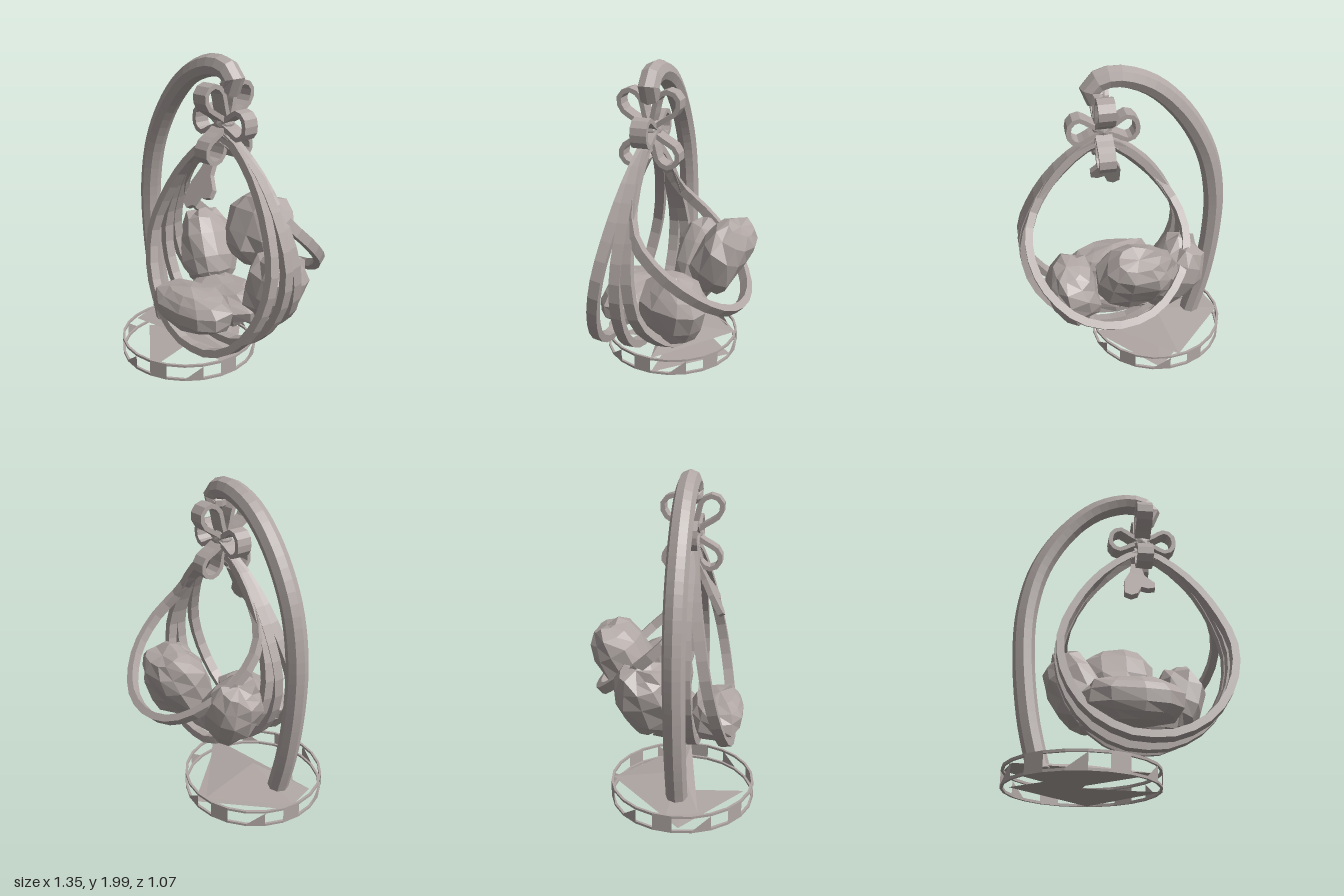
import * as THREE from 'three';

const V = (x, y, z) => new THREE.Vector3(x, y, z);
const CX = 0.13; // centre line of the hanging basket

export function createModel() {
  const group = new THREE.Group();
  const clay = new THREE.MeshStandardMaterial({ color: 0xb0a7a4, flatShading: true, side: THREE.DoubleSide });
  clay.name = 'warmGrey';

  let seed = 7;
  const rand = () => ((seed = (seed * 16807) % 2147483647) / 2147483647);

  const add = (name, geometry, parent = group) => {
    const mesh = new THREE.Mesh(geometry, clay);
    mesh.name = name;
    parent.add(mesh);
    return mesh;
  };

  const fromTriangles = (points) => {
    const g = new THREE.BufferGeometry().setFromPoints(points);
    g.computeVertexNormals();
    return g;
  };

  // Rectangular section swept along a curve; "across" is the wide direction
  const sweep = (curve, steps, across, wide, thick) => {
    const rings = [];
    for (let i = 0; i <= steps; i++) {
      const p = curve.getPointAt(i / steps);
      const t = curve.getTangentAt(i / steps);
      const n = across.clone().addScaledVector(t, -across.dot(t)).normalize();
      const s = t.clone().cross(n);
      rings.push([[1, 1], [-1, 1], [-1, -1], [1, -1]].map(([a, b]) =>
        p.clone().addScaledVector(n, a * wide / 2).addScaledVector(s, b * thick / 2)));
    }
    const tri = [];
    for (let i = 0; i < steps; i++) {
      for (let j = 0; j < 4; j++) {
        const k = (j + 1) % 4, a = rings[i], b = rings[i + 1];
        tri.push(a[j], b[j], b[k], a[j], b[k], a[k]);
      }
    }
    return fromTriangles(tri);
  };

  // ---- Base: two thin rims, broken side panels and shallow plates ----
  const base = new THREE.Group();
  base.name = 'base';
  base.position.set(-0.23, 0, 0.08);
  group.add(base);
  const R = 0.45;
  const rim = (name, y) => {
    const pts = [[R - 0.015, y], [R, y], [R, y + 0.015], [R - 0.015, y + 0.015], [R - 0.015, y]];
    add(name, new THREE.LatheGeometry(pts.map(([r, h]) => new THREE.Vector2(r, h)), 24), base);
  };
  rim('bottomRim', 0.003);
  rim('topRim', 0.1);
  const onRim = (i, y) => V(Math.cos(i * Math.PI / 12) * R, y, Math.sin(i * Math.PI / 12) * R);
  const panels = [];
  for (let i = 0; i < 24; i += 2) {
    panels.push(onRim(i, 0.015), onRim(i, 0.1), onRim(i + 1, 0.015));
    if (i % 4 === 0) panels.push(onRim(i, 0.1), onRim(i + 1, 0.1), onRim(i + 1, 0.015));
  }
  add('sidePanels', fromTriangles(panels), base);
  // Plates are fans of triangles from a centre point to consecutive corners
  const fan = (name, centreY, y, corners) => {
    const tri = [];
    for (let i = 1; i < corners.length; i++) {
      tri.push(V(0, centreY, 0), V(corners[i][0], y, corners[i][1]), V(corners[i - 1][0], y, corners[i - 1][1]));
    }
    add(name, fromTriangles(tri), base);
  };
  fan('topPlate', 0.15, 0.11, [[0.44, 0], [-0.06, -0.43], [-0.44, -0.04], [-0.385, 0.145], [0.44, 0]]);
  fan('bottomPlate', 0.015, 0.005, [[0.44, 0], [0.06, -0.43], [-0.4, 0.03], [0.06, 0.39]]);

  // ---- Curved post with a hooked end ----
  const postPath = new THREE.CatmullRomCurve3([
    [-0.475, 0.11], [-0.55, 0.42], [-0.595, 0.8], [-0.59, 1.1], [-0.52, 1.4],
    [-0.36, 1.68], [-0.17, 1.86], [0.02, 1.93], [0.12, 1.92], [0.175, 1.885], [0.185, 1.845], [0.155, 1.81],
  ].map(([x, y]) => V(x, y, 0.08)));
  add('post', new THREE.TubeGeometry(postPath, 36, 0.066, 8));
  const tip = add('postTip', new THREE.SphereGeometry(0.06, 8, 5));
  tip.position.set(0.16, 1.83, 0.08);

  // ---- Bow: teardrop ribbon loops around a knot ----
  const bow = new THREE.Group();
  bow.name = 'bow';
  bow.position.set(0.12, 1.61, 0.09);
  group.add(bow);
  const tear = [[0.02, 0], [0.1, 0.5], [0.19, 0.95], [0.25, 0.6], [0.265, 0], [0.25, -0.6], [0.19, -0.95], [0.1, -0.5]];
  const loop = (name, angle, turnY, length, halfWidth) => {
    const path = new THREE.CatmullRomCurve3(tear.map(([u, v]) => V(u * length / 0.265, v * halfWidth, 0)), true);
    const g = sweep(path, 14, V(0, 0, 1), 0.1, 0.028);
    g.rotateZ(angle);
    g.rotateY(turnY);
    add(name, g, bow);
  };
  for (const s of [0, Math.PI]) {
    loop('upperLoop', 0.95, Math.PI / 2 + s, 0.265, 0.072);
    loop('lowerLoop', -0.93, Math.PI / 2 + s, 0.25, 0.07);
    loop('sideLoop', 0.05, s, 0.205, 0.08);
  }
  add('knot', new THREE.IcosahedronGeometry(0.062, 1), bow);

  // Ribbon tail with a notched end
  const tailShape = new THREE.Shape([
    [-0.03, 0], [0.03, 0], [0.045, -0.13], [0.105, -0.21], [0.1, -0.26], [0.055, -0.275],
    [0.015, -0.26], [-0.01, -0.33], [-0.05, -0.355], [-0.09, -0.33], [-0.085, -0.2], [-0.045, -0.1],
  ].map(([x, y]) => new THREE.Vector2(x, y)));
  const tail = add('ribbonTail', new THREE.ExtrudeGeometry(tailShape, { depth: 0.035, bevelEnabled: false }));
  tail.position.set(0.075, 1.42, 0.11);
  tail.rotation.x = -0.49;

  // ---- Basket hoops: half outlines mirrored about the centre line ----
  const hoop = (name, half, across, wide = 0.065) => {
    const left = half.slice(1, -1).reverse().map(([x, y, z]) => V(CX - x, y, z));
    const right = half.map(([x, y, z]) => V(CX + x, y, z));
    add(name, sweep(new THREE.CatmullRomCurve3([...right, ...left], true), 32, across, wide, 0.046));
  };
  const drop = [[0, 1.54], [0.13, 1.47], [0.29, 1.32], [0.43, 1.1], [0.515, 0.85],
    [0.48, 0.6], [0.34, 0.38], [0.15, 0.265], [0, 0.245]];
  const lean = (name, zBottom, scale) => {
    const slope = (zBottom - 0.1) / 1.28;
    hoop(name, drop.map(([x, y]) => [x * scale, y, 0.1 + (1.53 - y) * slope]), V(0, slope, 1));
  };
  lean('frontHoop', 0.35, 1);
  lean('middleHoop', 0.13, 1.01);
  // The rear hoop kicks backwards near its bottom
  const kick = [0.1, 0.1, 0.09, 0.07, 0.045, 0.01, -0.06, -0.11, -0.115];
  hoop('rearHoop', drop.map(([x, y], i) => [x, y + (i > 5 ? 0.04 : 0), kick[i]]), V(0, -0.15, 1));
  hoop('backrestHoop', [[0, 1.51, 0.1], [0.26, 1.33, 0.1], [0.43, 1.11, 0.04], [0.485, 0.96, -0.1],
    [0.43, 0.79, -0.29], [0.24, 0.635, -0.45], [0, 0.59, -0.5]], V(0, 0.7, -0.7), 0.06);

  // ---- Cushions: puffed, crumpled pillows ----
  const cushion = (name, pos, radii, rot) => {
    const g = new THREE.SphereGeometry(1, 11, 7);
    const p = g.attributes.position;
    const puff = (v) => Math.sign(v) * Math.pow(Math.abs(v), 0.8);
    const bumps = new Map();
    for (let i = 0; i < p.count; i++) {
      const v = V(p.getX(i), p.getY(i), p.getZ(i));
      const key = [v.x, v.y, v.z].map((c) => Math.round(c * 100) + 0).join();
      if (!bumps.has(key)) bumps.set(key, 0.88 + rand() * 0.17);
      const k = bumps.get(key);
      p.setXYZ(i, puff(v.x) * radii[0] * k, puff(v.y) * radii[1] * k, puff(v.z) * radii[2] * k);
    }
    g.computeVertexNormals();
    const mesh = add(name, g);
    mesh.position.set(...pos);
    mesh.rotation.set(...rot);
  };
  cushion('backCushion', [0.01, 0.82, -0.33], [0.24, 0.26, 0.16], [-0.5, 0, 0]);
  cushion('leftCushion', [0.36, 0.6, -0.12], [0.165, 0.23, 0.21], [-0.2, 0, -0.2]);
  cushion('rightCushion', [-0.27, 0.66, -0.13], [0.17, 0.27, 0.19], [-0.2, 0, 0.45]);
  cushion('frontSeatCushion', [0.03, 0.46, 0.28], [0.3, 0.135, 0.18], [0.05, 0, 0]);
  cushion('seatCushion', [0.04, 0.43, 0], [0.3, 0.11, 0.18], [0.2, 0, 0]);

  return group;
}
